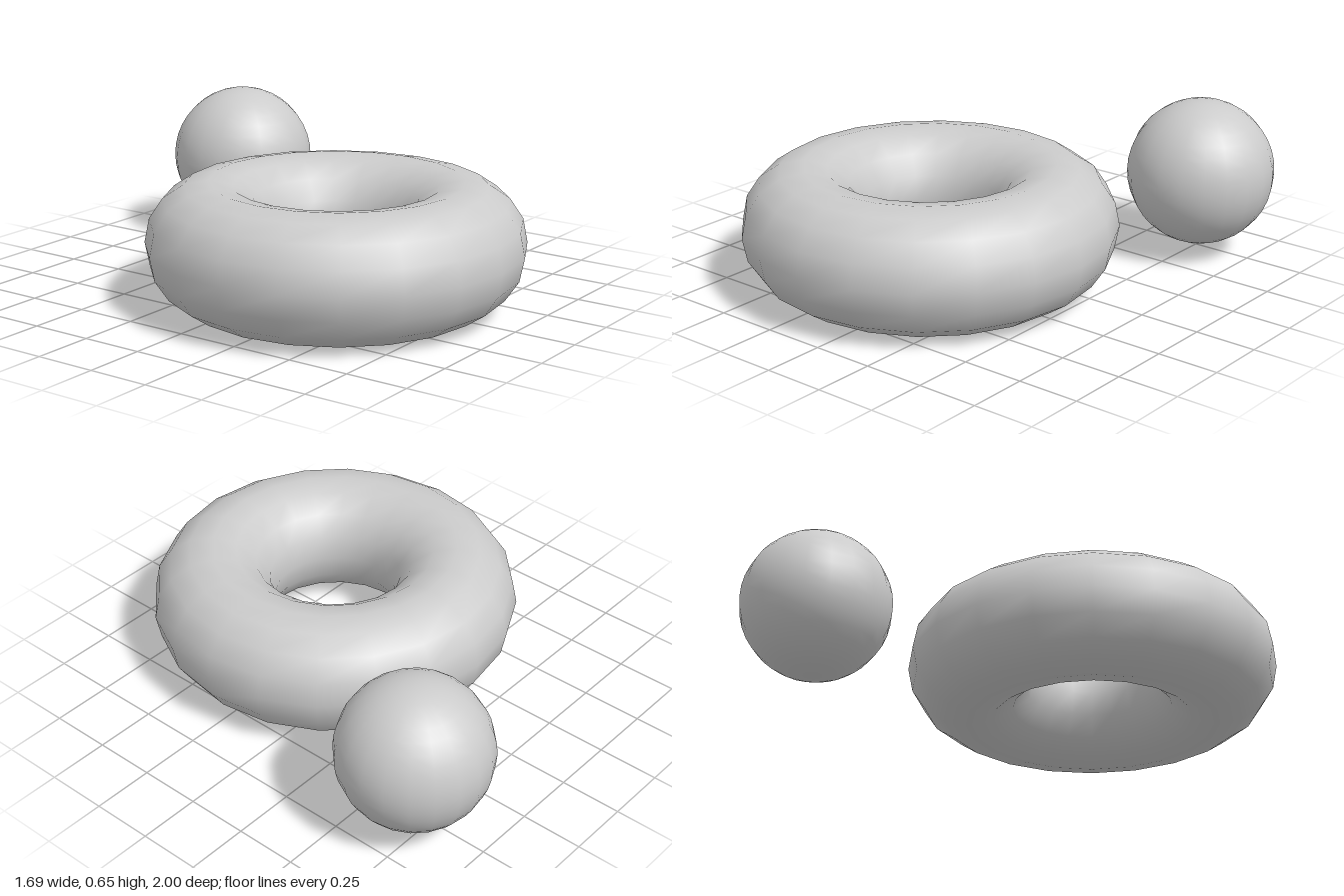
import * as THREE from 'three';

export function createModel() {
  const group = new THREE.Group();
  const material = new THREE.MeshStandardMaterial({ color: 0xcccccc });

  const addPart = (name, geometry, x, y, z) => {
    const mesh = new THREE.Mesh(geometry, material);
    mesh.name = name;
    mesh.position.set(x, y, z);
    group.add(mesh);
  };

  // Ring lying flat on the ground
  const ring = new THREE.TorusGeometry(0.497, 0.249, 16, 20).rotateX(-Math.PI / 2);
  addPart('ring', ring, -0.1, 0.25, 0.25);

  // Ball floating behind the ring, on its left
  addPart('ball', new THREE.SphereGeometry(0.3, 20, 20), 0.54, 0.35, -0.7);

  return group;
}
